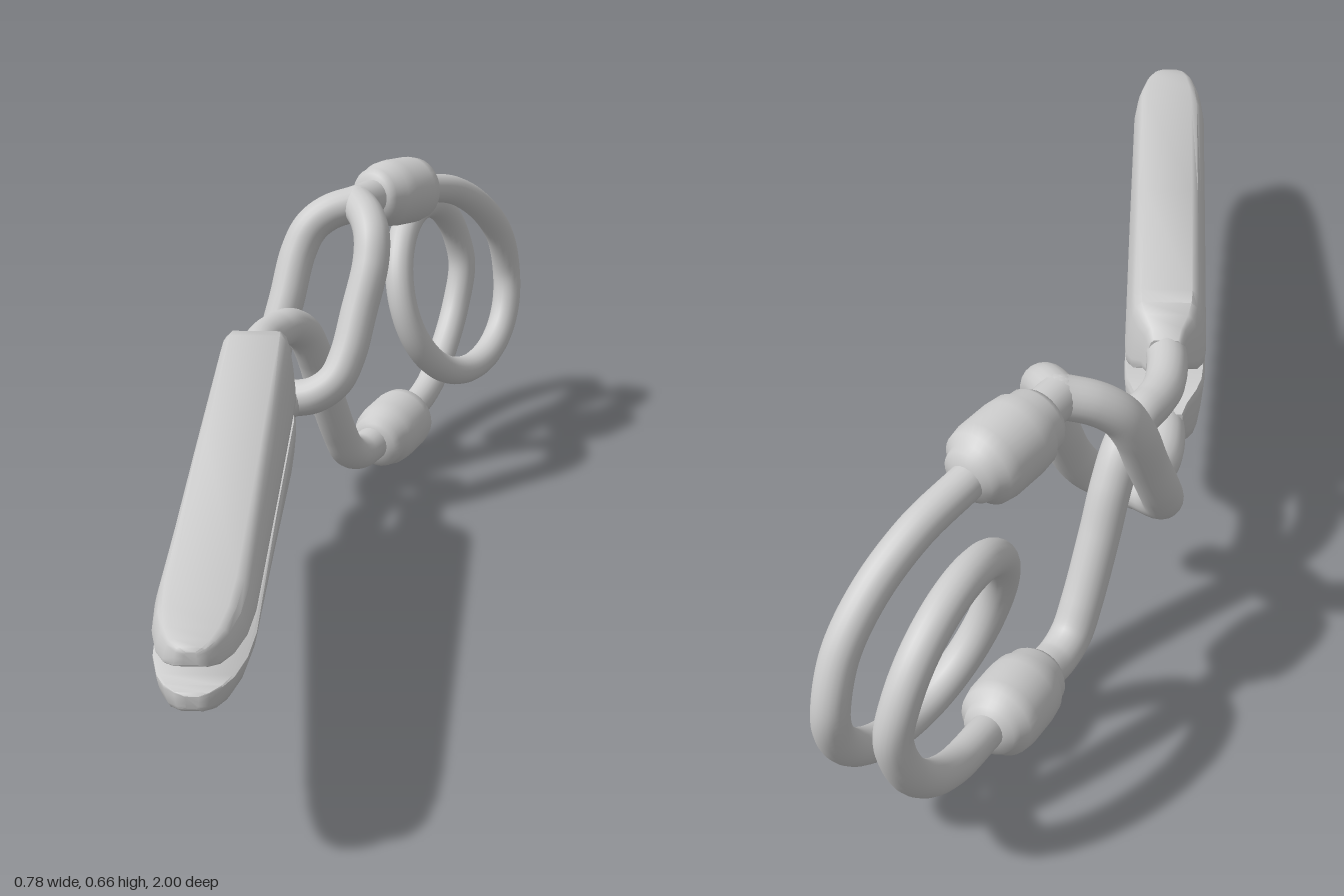
import * as THREE from 'three';
import { toCreasedNormals } from 'three/addons/utils/BufferGeometryUtils.js';

const material = new THREE.MeshStandardMaterial({ color: 0xcccccc });
const WIRE = 0.036;

function add(parent, geometry, name) {
  const mesh = new THREE.Mesh(geometry, material);
  mesh.name = name;
  parent.add(mesh);
  return mesh;
}

// Round wire through a few points
function wire(parent, name, points, radius = WIRE, segments = 60) {
  const curve = new THREE.CatmullRomCurve3(points.map((p) => new THREE.Vector3(...p)), false, 'centripetal');
  return add(parent, new THREE.TubeGeometry(curve, segments, radius, 20), name);
}

// Jaw cross-section: flat gripping face below, rounded shoulders above
const half = [[0.95, 0], [1, 0.05], [1, 0.16], [0.95, 0.45], [0.87, 0.75], [0.78, 0.91], [0.62, 0.99]];
const section = [...half, ...half.map(([x, y]) => [-x, y]).reverse()];

// Jaw stations: distance along, half width, underside height, thickness
const stations = [
  [-0.125, 0.034, 0.045, 0.068], [-0.1, 0.043, 0.038, 0.086], [-0.08, 0.06, 0.023, 0.115],
  [-0.055, 0.07, 0.016, 0.132], [-0.02, 0.073, 0.015, 0.136], [0.4, 0.074, 0.015, 0.097],
  [0.85, 0.074, 0.015, 0.055], [0.93, 0.068, 0.015, 0.048], [0.99, 0.055, 0.016, 0.042],
  [1.02, 0.041, 0.017, 0.037], [1.036, 0.025, 0.02, 0.029], [1.041, 0.01, 0.024, 0.02],
];

function jawGeometry() {
  const positions = [];
  const index = [];
  const n = section.length;
  for (const [z, w, y0, h] of stations) {
    for (const [x, y] of section) positions.push(x * w, y0 + y * h, z);
  }
  for (let i = 0; i < stations.length - 1; i++) {
    for (let j = 0; j < n; j++) {
      const a = i * n + j;
      const b = i * n + ((j + 1) % n);
      index.push(a, b, a + n, b, b + n, a + n);
    }
  }
  // End caps
  const last = (stations.length - 1) * n;
  for (let j = 1; j < n - 1; j++) {
    index.push(0, j + 1, j, last, last + j, last + j + 1);
  }
  const geometry = new THREE.BufferGeometry();
  geometry.setAttribute('position', new THREE.Float32BufferAttribute(positions, 3));
  geometry.setIndex(index);
  return toCreasedNormals(geometry, 0.75);
}

function ferruleGeometry() {
  const profile = [
    [0.03, -0.092], [0.047, -0.088], [0.056, -0.075], [0.057, -0.058], [0.065, -0.046],
    [0.068, -0.02], [0.068, 0.04], [0.064, 0.062], [0.05, 0.072], [0.046, 0.086], [0.026, 0.094],
  ].map(([x, y]) => new THREE.Vector2(x, y));
  return new THREE.LatheGeometry(profile, 32);
}

export function createModel() {
  const model = new THREE.Group();
  model.name = 'springClamp';
  const clamp = new THREE.Group();
  clamp.name = 'clamp';
  clamp.position.set(-0.27, 0.327, 0);
  model.add(clamp);

  const jaw = jawGeometry();
  const ferrule = ferruleGeometry();
  for (const side of [1, -1]) {
    const prefix = side > 0 ? 'upper' : 'lower';
    // Angled jaws, gripping faces toward each other
    const mesh = add(clamp, jaw, prefix + 'Jaw');
    mesh.position.set(0.114, 0, 0.09);
    mesh.rotation.set(0, Math.PI / 6, side > 0 ? 0 : Math.PI);

    // Collars leaning apart toward the spring
    const collar = add(clamp, ferrule, prefix + 'Collar');
    collar.position.set(side * 0.004, side * 0.26, -0.585);
    collar.quaternion.setFromUnitVectors(
      new THREE.Vector3(0, 1, 0),
      new THREE.Vector3(side * 0.1, -side * 0.09, -1).normalize(),
    );
  }

  const neck = (y) => [[0.095, y, 0.06], [0.072, y, 0.016], [0.035, y, -0.04], [0.008, y, -0.1], [0, y, -0.15]];

  // Single arm: upper jaw, through the link, to the lower collar
  wire(clamp, 'crossingArm', [
    ...neck(0.079), [0, 0.077, -0.19], [0, 0.05, -0.24], [0, -0.01, -0.28], [0, -0.09, -0.315],
    [0, -0.2, -0.37], [0, -0.25, -0.405], [0, -0.269, -0.45], [0, -0.266, -0.5], [-0.002, -0.262, -0.57],
  ], WIRE, 100);

  // Split arm: lower jaw, open link, upper collar
  wire(clamp, 'linkNeck', [...neck(-0.075), [0, -0.074, -0.2]]);
  for (const side of [1, -1]) {
    wire(clamp, side > 0 ? 'linkSideLeft' : 'linkSideRight', [
      [0, -0.074, -0.195], [side * 0.045, -0.062, -0.212], [side * 0.075, -0.035, -0.238],
      [side * 0.085, 0.01, -0.268], [side * 0.085, 0.09, -0.31], [side * 0.085, 0.175, -0.352],
      [side * 0.072, 0.222, -0.378], [side * 0.045, 0.25, -0.405], [0, 0.268, -0.44],
    ]);
  }
  for (const [y, z] of [[-0.074, -0.197], [0.268, -0.44]]) {
    add(clamp, new THREE.SphereGeometry(WIRE, 20, 14), 'linkJoint').position.set(0, y, z);
  }
  wire(clamp, 'upperArm', [[0, 0.268, -0.435], [0, 0.267, -0.5], [0.002, 0.262, -0.57]], WIRE, 16);

  // Spring: sweeps from the upper collar round one full coil to the lower collar
  const sweep = [
    [0.006, 0.258, -0.6], [0.012, 0.248, -0.68], [0.028, 0.222, -0.785], [0.045, 0.165, -0.875], [0.055, 0.09, -0.94],
  ];
  const coil = [];
  for (let i = 0; i <= 16; i++) {
    const a = (i / 16) * Math.PI * 2;
    coil.push([0.057 * Math.cos(a / 2) + 0.022 * Math.sin(a), -0.174 * Math.sin(a), -0.796 - 0.174 * Math.cos(a)]);
  }
  const back = sweep.map(([x, y, z]) => [-x, -y, z]).reverse();
  wire(clamp, 'springCoil', [...sweep, ...coil, ...back], 0.03, 180);

  return model;
}
